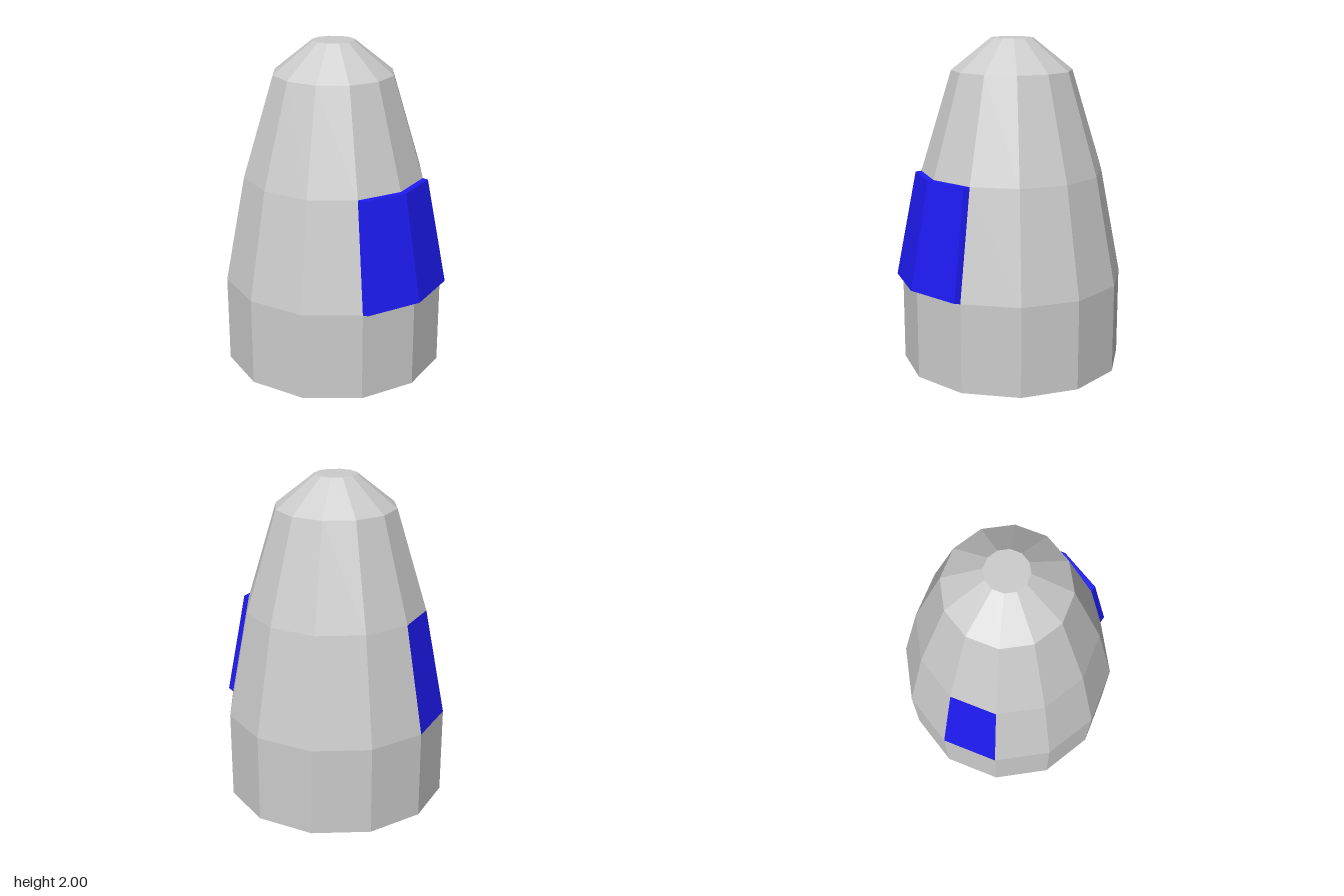
import * as THREE from 'three';

const SIDES = 12;
const STEP = (Math.PI * 2) / SIDES;
const BASE_R = 0.68, BAND_R = 0.553;  // radii below and above the window band
const BAND_Y0 = 0.545, BAND_Y1 = 1.2;

const grey = new THREE.MeshStandardMaterial({ color: 0xcccccc, flatShading: true });
const blue = new THREE.MeshStandardMaterial({ color: 0x1d1af2, flatShading: true });

// Faceted shell turned from [radius, height] pairs, covering some of the sides
function shell(name, profile, material, firstSide = 0, sides = SIDES) {
  const points = profile.map(([r, y]) => new THREE.Vector2(r, y));
  const geometry = new THREE.LatheGeometry(points, sides, firstSide * STEP, sides * STEP);
  const mesh = new THREE.Mesh(geometry, material);
  mesh.name = name;
  return mesh;
}

// Raised window wrapped over the two front facets and pushed forward
function frontWindow() {
  const geometry = new THREE.BoxGeometry(2, 1, 1, 2, 1, 1);
  const p = geometry.attributes.position;
  for (let i = 0; i < p.count; i++) {
    const angle = p.getX(i) * STEP;
    const top = p.getY(i) > 0, outer = p.getZ(i) > 0;
    const r = top ? BAND_R : BASE_R;
    const y = top ? BAND_Y1 : BAND_Y0 + (outer ? 0.01 : 0);
    p.setXYZ(i, r * Math.sin(angle), y, r * Math.cos(angle) + (outer ? 0.04 : 0));
  }
  geometry.computeVertexNormals();
  const mesh = new THREE.Mesh(geometry, blue);
  mesh.name = 'frontWindow';
  return mesh;
}

export function createModel() {
  const model = new THREE.Group();
  model.name = 'capsule';
  const band = [[BASE_R, BAND_Y0], [BAND_R, BAND_Y1]];
  const half = SIDES / 2;

  model.add(
    shell('base', [[0, 0], [BASE_R, 0], [BASE_R, BAND_Y0]], grey),
    // The band leaves one rear facet free for the flush hatch
    shell('windowBand', band, grey, half + 1, SIDES - 1),
    shell('rearHatch', band, blue, half, 1),
    shell('nose', [[BAND_R, BAND_Y1], [0.365, 1.81], [0.127, 2], [0, 2]], grey),
    frontWindow(),
  );

  // Centre the depth, including the raised window
  for (const part of model.children) part.position.z = -0.02;
  return model;
}
